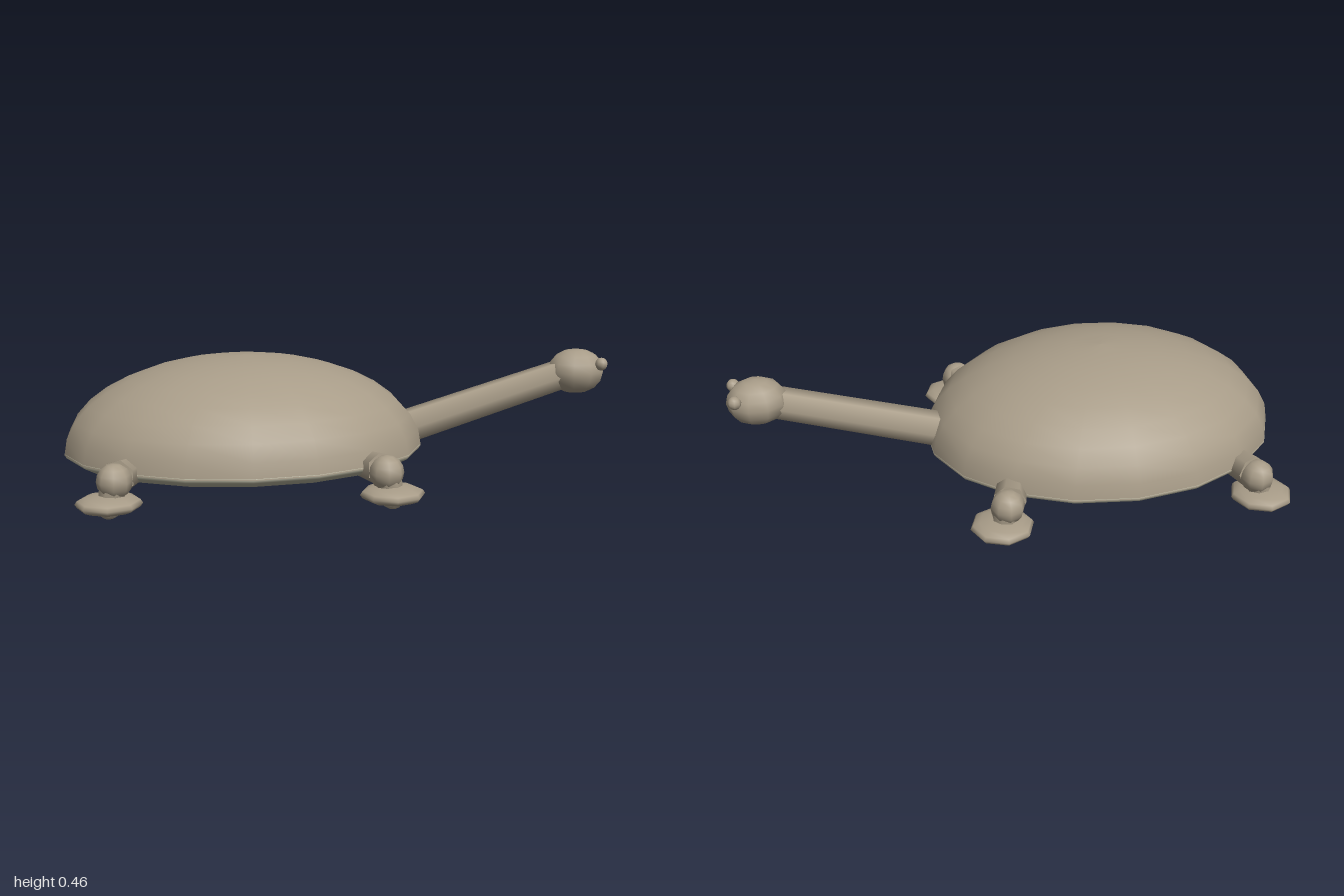
import * as THREE from 'three';

const V = (x, y, z) => new THREE.Vector3(x, y, z);
const SHELL_X = -0.36;

export function createModel() {
  const model = new THREE.Group();
  const skin = new THREE.MeshStandardMaterial({ color: 0xa89c88 });
  skin.name = 'warm taupe';
  const pale = new THREE.MeshStandardMaterial({ color: 0xb3b09a });
  pale.name = 'pale stone';

  const add = (parent, name, geometry, material = skin) => {
    const mesh = new THREE.Mesh(geometry, material);
    mesh.name = name;
    parent.add(mesh);
    return mesh;
  };

  // squashed ball with its poles up and down
  const ball = (parent, name, p, rx, ry, rz, w = 8, h = 8) => {
    const mesh = add(parent, name, new THREE.SphereGeometry(1, w, h));
    mesh.position.copy(p);
    mesh.scale.set(rx, ry, rz);
    return mesh;
  };

  // straight limb between two points
  const limb = (parent, name, a, b, ra, rb, sides) => {
    const d = b.clone().sub(a);
    const mesh = add(parent, name, new THREE.CylinderGeometry(rb, ra, d.length(), sides));
    mesh.position.copy(a).add(b).multiplyScalar(0.5);
    mesh.quaternion.setFromUnitVectors(V(0, 1, 0), d.normalize());
    return mesh;
  };

  // domed shell
  const dome = [];
  for (let i = 0; i <= 9; i++) {
    const t = (i / 9) * Math.PI / 2;
    dome.push(new THREE.Vector2(Math.cos(t), Math.sin(t)));
  }
  const shell = add(model, 'shell', new THREE.LatheGeometry(dome, 18));
  shell.position.set(SHELL_X, 0.125, 0);
  shell.scale.set(0.65, 0.335, 0.53);

  // shallow belly dish with a rim that closes under the shell
  const dish = [[0, 0.073], [0.4, 0.076], [0.75, 0.083], [0.93, 0.095], [0.99, 0.115], [1, 0.13], [0.97, 0.14]]
    .map(([r, y]) => new THREE.Vector2(r, y));
  const belly = add(model, 'belly', new THREE.LatheGeometry(dish, 18), pale);
  belly.position.x = SHELL_X;
  belly.scale.set(0.65, 1, 0.53);

  // hexagonal neck, starting inside the shell
  limb(model, 'neck', V(0.13, 0.142, 0), V(0.85, 0.367, 0), 0.066, 0.058, 6);

  // head and eyes
  const head = new THREE.Group();
  head.name = 'head';
  model.add(head);
  ball(head, 'skull', V(0.885, 0.372, 0), 0.108, 0.084, 0.093, 10, 8);
  for (const s of [1, -1]) {
    ball(head, s > 0 ? 'frontEye' : 'backEye', V(0.962, 0.406, s * 0.065), 0.024, 0.024, 0.024);
  }

  // four legs, mirrored about the middle of the shell
  for (const sx of [1, -1]) {
    for (const sz of [1, -1]) {
      const leg = new THREE.Group();
      leg.name = (sx > 0 ? 'fore' : 'hind') + (sz > 0 ? 'FrontLeg' : 'BackLeg');
      model.add(leg);
      const at = (x, y, z) => V(SHELL_X + sx * x, y, sz * z);
      limb(leg, 'thigh', at(0.39, 0.115, 0.28), at(0.44, 0.133, 0.46), 0.048, 0.058, 7);
      ball(leg, 'knee', at(0.45, 0.125, 0.475), 0.06, 0.06, 0.06);
      limb(leg, 'shin', at(0.45, 0.12, 0.475), at(0.47, 0.03, 0.478), 0.05, 0.04, 8);
      ball(leg, 'foot', at(0.47, 0.052, 0.48), 0.111, 0.032, 0.111);
      ball(leg, 'sole', at(0.47, 0.03, 0.48), 0.038, 0.03, 0.038);
    }
  }
  return model;
}
